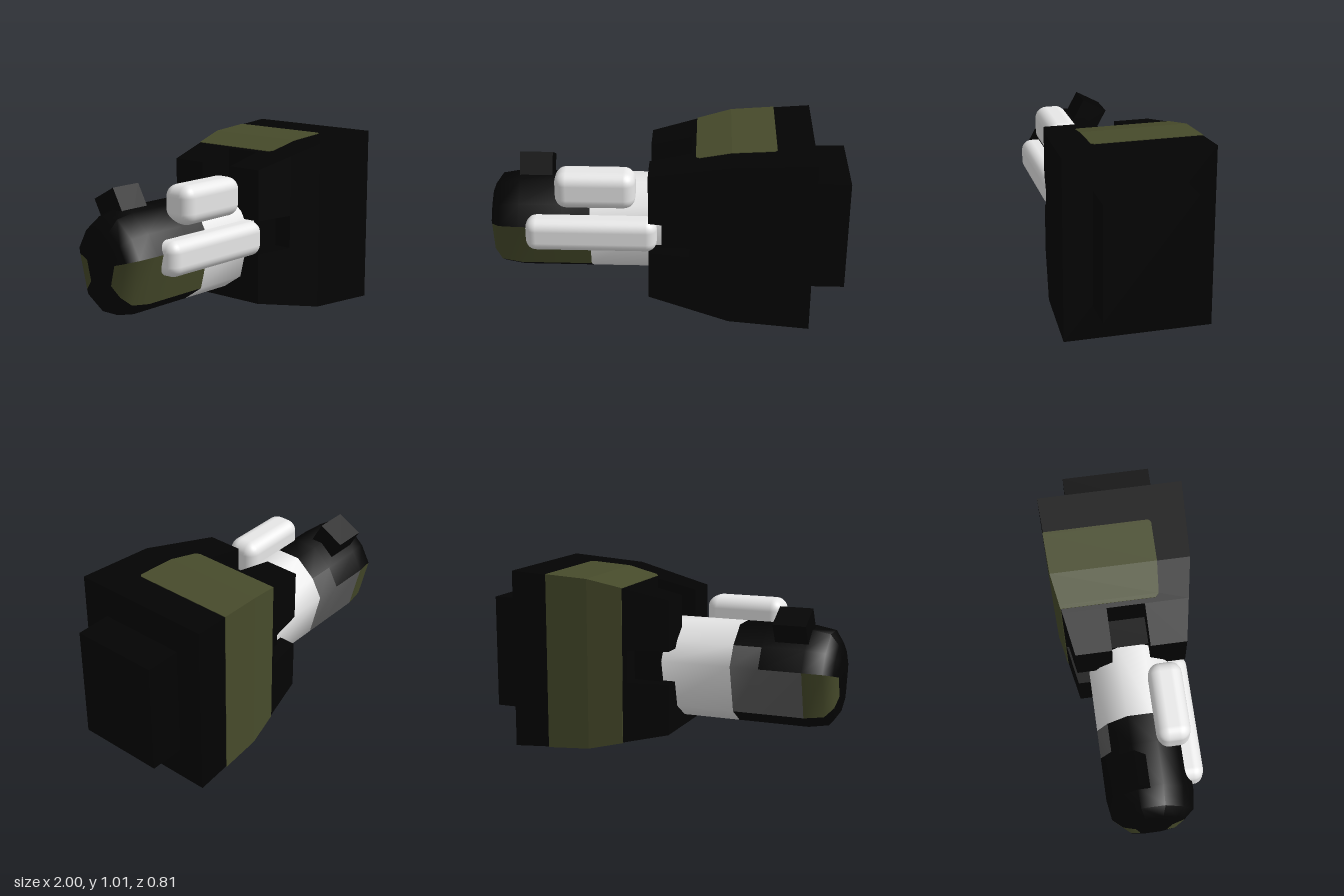
import * as THREE from 'three';
import { toCreasedNormals } from 'three/addons/utils/BufferGeometryUtils.js';
import { RoundedBoxGeometry } from 'three/addons/geometries/RoundedBoxGeometry.js';

function paint(name, color) {
  const m = new THREE.MeshStandardMaterial({ color });
  m.name = name;
  return m;
}

// Joins rings of [x, y, z] points (ordered top, +z, bottom, -z) along x.
// pick(segment, sector) gives each face its material; ends are capped.
function loft(name, rings, pick, capMaterial, crease = 0.01) {
  const byMaterial = new Map();
  const add = (mat, ...pts) => {
    if (!byMaterial.has(mat)) byMaterial.set(mat, []);
    for (const p of pts) byMaterial.get(mat).push(...p);
  };
  const n = rings[0].length;
  for (let s = 0; s < rings.length - 1; s++) {
    for (let i = 0; i < n; i++) {
      const j = (i + 1) % n;
      const a = rings[s][i], b = rings[s + 1][i], c = rings[s][j], d = rings[s + 1][j];
      add(pick(s, i), a, c, b, c, d, b);
    }
  }
  const first = rings[0], last = rings[rings.length - 1];
  for (let i = 1; i < n - 1; i++) {
    add(capMaterial, first[0], first[i + 1], first[i]);
    add(capMaterial, last[0], last[i], last[i + 1]);
  }
  const group = new THREE.Group();
  group.name = name;
  for (const [mat, pos] of byMaterial) {
    const g = new THREE.BufferGeometry();
    g.setAttribute('position', new THREE.Float32BufferAttribute(pos, 3));
    const mesh = new THREE.Mesh(toCreasedNormals(g, crease), mat);
    mesh.name = `${name} ${mat.name}`;
    group.add(mesh);
  }
  return group;
}

const rect = (x, y0, y1, z0, z1) => [[x, y1, z0], [x, y1, z1], [x, y0, z1], [x, y0, z0]];

// Cuff half height and half depth at a given x
const CY = 0.507, CZ = -0.002;
function cuffSize(x) {
  const k = [[-0.1, 0.377, 0.305], [0.35, 0.478, 0.385], [0.8, 0.505, 0.405]];
  const [a, b] = x < 0.35 ? [k[0], k[1]] : [k[1], k[2]];
  const t = (x - a[0]) / (b[0] - a[0]);
  return [a[1] + (b[1] - a[1]) * t, a[2] + (b[2] - a[2]) * t];
}

export function createModel() {
  const black = paint('black', 0x030303);
  const light = paint('light grey', 0xececec);
  const grey = paint('dark grey', 0x5c5c5c);
  const green = paint('olive green', 0x474b2b);

  const model = new THREE.Group();
  model.name = 'gauntlet';
  const block = (name, rings, mat) => model.add(loft(name, rings, () => mat, mat));

  // Cuff body
  block('cuff', [0.13, 0.35, 0.8].map((x) => {
    const [h, d] = cuffSize(x);
    return rect(x, CY - h, CY + h, CZ - d, CZ + d);
  }), black);

  // Cuff mouth: two upper corners and a full lower half, with slots at the top, front and back
  const mouth = [-0.1, 0.13];
  for (const side of [-1, 1]) {
    block('cuffCorner', mouth.map((x) => {
      const [h, d] = cuffSize(x);
      const z = [CZ + side * 0.105, CZ + side * d].sort((a, b) => a - b);
      return rect(x, CY + 0.0925, CY + h, ...z);
    }), black);
  }
  block('cuffLower', mouth.map((x) => {
    const [h, d] = cuffSize(x);
    return rect(x, CY - h, CY - 0.0925, CZ - d, CZ + d);
  }), black);

  // Slot floor and elbow stub
  block('cuffCore', [rect(-0.03, 0.19, 0.735, -0.24, 0.24), rect(0.14, 0.19, 0.735, -0.24, 0.24)], black);
  block('elbowStub', [rect(0.78, 0.185, 0.83, -0.25, 0.245), rect(1, 0.185, 0.83, -0.25, 0.245)], black);

  // Green wrap over the top, back and underside of the cuff
  block('cuffPanel', [[0.155, 0.165], [0.175, 0.185], [0.35, 0.2], [0.58, 0.2], [0.595, 0.185]].map(([x, front]) => {
    const [h, d] = cuffSize(x);
    return rect(x, CY - h - 0.003, CY + h + 0.003, CZ - d - 0.003, front);
  }), green);

  // Hand: faceted section of [z, y], widest above the middle, mirrored and tapered at the tip
  const half = [[0.07, 0.735], [0.18, 0.64], [0.24, 0.53], [0.175, 0.267], [0.06, 0.19]];
  const section = [...half, ...half.map(([z, y]) => [-z, y]).reverse()];
  const stations = [[-1, 0.42], [-0.985, 0.7], [-0.94, 0.93], [-0.83, 1], [-0.59, 1], [-0.43, 1], [-0.03, 1]];
  const handRings = stations.map(([x, s]) => section.map(([z, y]) => [x, 0.4625 + (y - 0.4625) * s, z * s]));
  const handColor = (seg, side) => {
    if (seg === 5) return light;
    if (side === 2) return green;
    if (side === 6) return seg < 3 ? green : grey;
    if (side === 7 && seg === 4) return grey;
    return black;
  };
  model.add(loft('hand', handRings, handColor, black, 0.9));

  // Rounded pods on the front of the hand
  const pod = (name, x0, x1, y0, y1, z0, z1, r) => {
    const mesh = new THREE.Mesh(new RoundedBoxGeometry(x1 - x0, y1 - y0, z1 - z0, 4, r), light);
    mesh.position.set((x0 + x1) / 2, (y0 + y1) / 2, (z0 + z1) / 2);
    mesh.name = name;
    model.add(mesh);
  };
  pod('upperPod', -0.62, -0.175, 0.642, 0.855, 0.07, 0.255, 0.065);
  pod('lowerPod', -0.785, -0.055, 0.405, 0.595, 0.14, 0.31, 0.06);

  // Stub leaning back from the top of the hand
  const stub = new THREE.Mesh(new THREE.BoxGeometry(0.185, 0.25, 0.16), black);
  stub.position.set(-0.748, 0.702, -0.075);
  stub.rotation.x = -0.5;
  stub.name = 'topStub';
  model.add(stub);

  return model;
}
